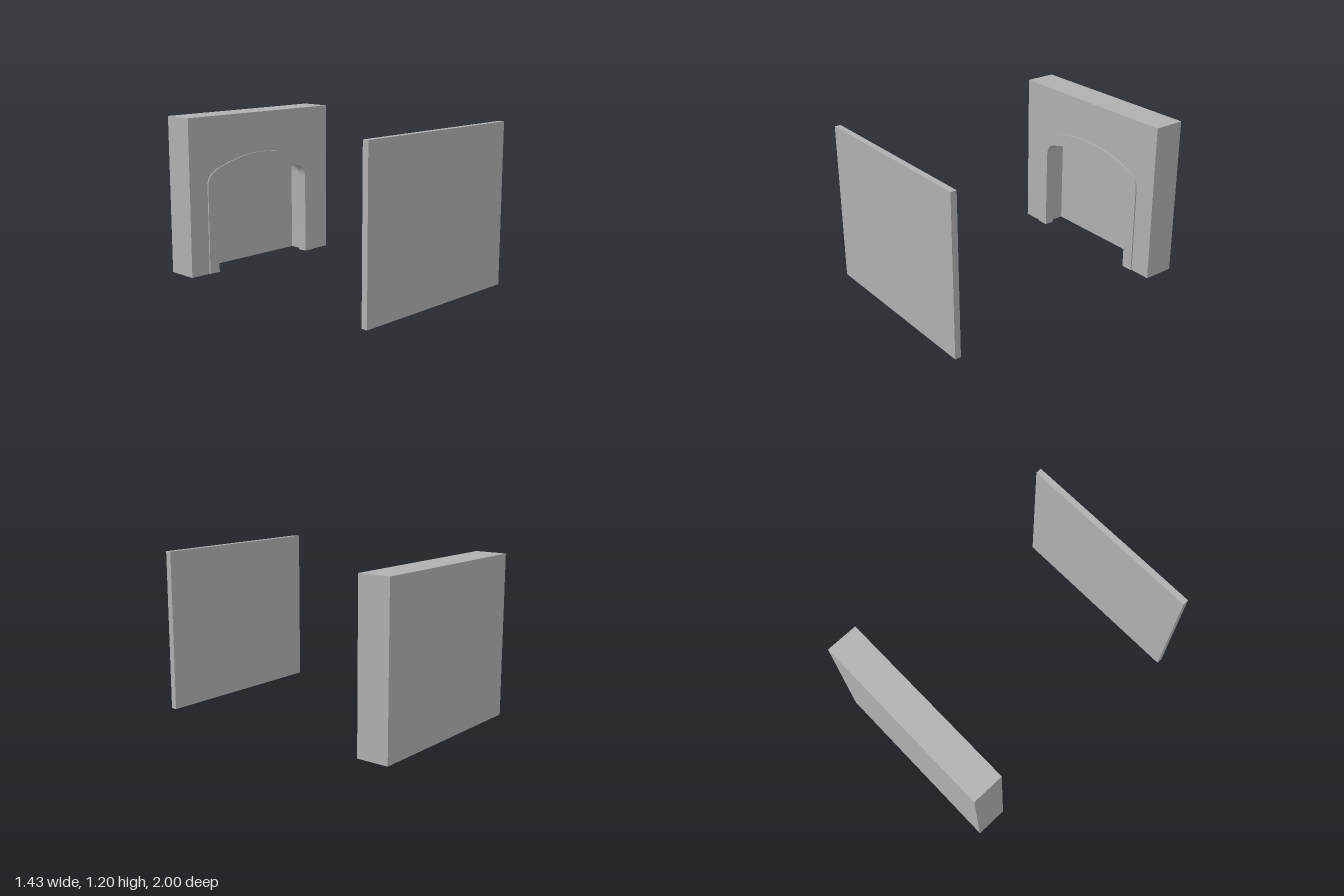
import * as THREE from 'three';
import { toCreasedNormals } from 'three/addons/utils/BufferGeometryUtils.js';

const W = 0.715, H = 1.2, BACK = -1, FACE = -0.76;

// Arch outline from the +x foot over the top to the -x foot; d widens it.
function archPoints(d) {
  const w = 0.46 + d, spring = 0.62 + 0.7 * d;
  const cx = 0.38 + 0.75 * d, cy = 0.735 + 0.75 * d, top = 0.79 + 1.1 * d;
  const bend = cy - 2 * (top - cy) / cx * (w - cx);
  const v = (x, y) => new THREE.Vector2(x, y);
  const corner = new THREE.QuadraticBezierCurve(v(w, spring), v(w, bend), v(cx, cy)).getPoints(8);
  const crown = new THREE.QuadraticBezierCurve(v(cx, cy), v(cx / 2, top), v(0, top)).getPoints(10);
  const half = [v(w, 0), ...corner, ...crown.slice(1)];
  const mirrored = half.slice(0, -1).reverse().map(p => v(-p.x, p.y));
  return [...half, ...mirrored];
}

// Surface between two outlines lying at two depths.
function band(a, za, b, zb) {
  const pos = [], index = [];
  a.forEach((p, i) => {
    pos.push(p.x, p.y, za, b[i].x, b[i].y, zb);
    if (i < a.length - 1) {
      const k = 2 * i;
      index.push(k, k + 2, k + 1, k + 2, k + 3, k + 1);
    }
  });
  const g = new THREE.BufferGeometry();
  g.setAttribute('position', new THREE.Float32BufferAttribute(pos, 3));
  g.setIndex(index);
  return toCreasedNormals(g, 0.6);
}

export function createModel() {
  const group = new THREE.Group();
  const grey = new THREE.MeshStandardMaterial({ color: 0xb0b0b0, side: THREE.DoubleSide });
  grey.name = 'plain grey';
  const add = (name, geometry, z = 0, y = 0) => {
    const mesh = new THREE.Mesh(geometry, grey);
    mesh.name = name;
    mesh.position.set(0, y, z);
    group.add(mesh);
  };

  // Free-standing front panel
  add('frontPanel', new THREE.BoxGeometry(2 * W, H - 0.01, 0.045), 0.9775, (H + 0.01) / 2);

  // Hollow wall, open underneath: sides and top, back, and arched front face
  const box = [[W, 0], [W, H], [-W, H], [-W, 0]].map(p => new THREE.Vector2(...p));
  add('wallSidesAndTop', band(box, BACK, box, FACE));
  add('wallBack', new THREE.PlaneGeometry(2 * W, H).rotateY(Math.PI), BACK, H / 2);
  const outer = archPoints(0.09), inner = archPoints(0), recess = archPoints(0.035);
  add('wallFace', new THREE.ShapeGeometry(new THREE.Shape([...box, ...[...outer].reverse()])), FACE);

  // Raised arch trim, with a lip stepping out to the recess
  add('trimEdge', band(outer, FACE, outer, -0.75));
  add('trimFace', band(outer, -0.75, inner, -0.75));
  add('trimLip', band(inner, -0.75, inner, -0.83));
  add('lipStep', band(inner, -0.83, recess, -0.83));
  add('recessSides', band(recess, -0.83, recess, -0.95));
  add('recessBack', new THREE.ShapeGeometry(new THREE.Shape(recess)), -0.95);

  return group;
}
